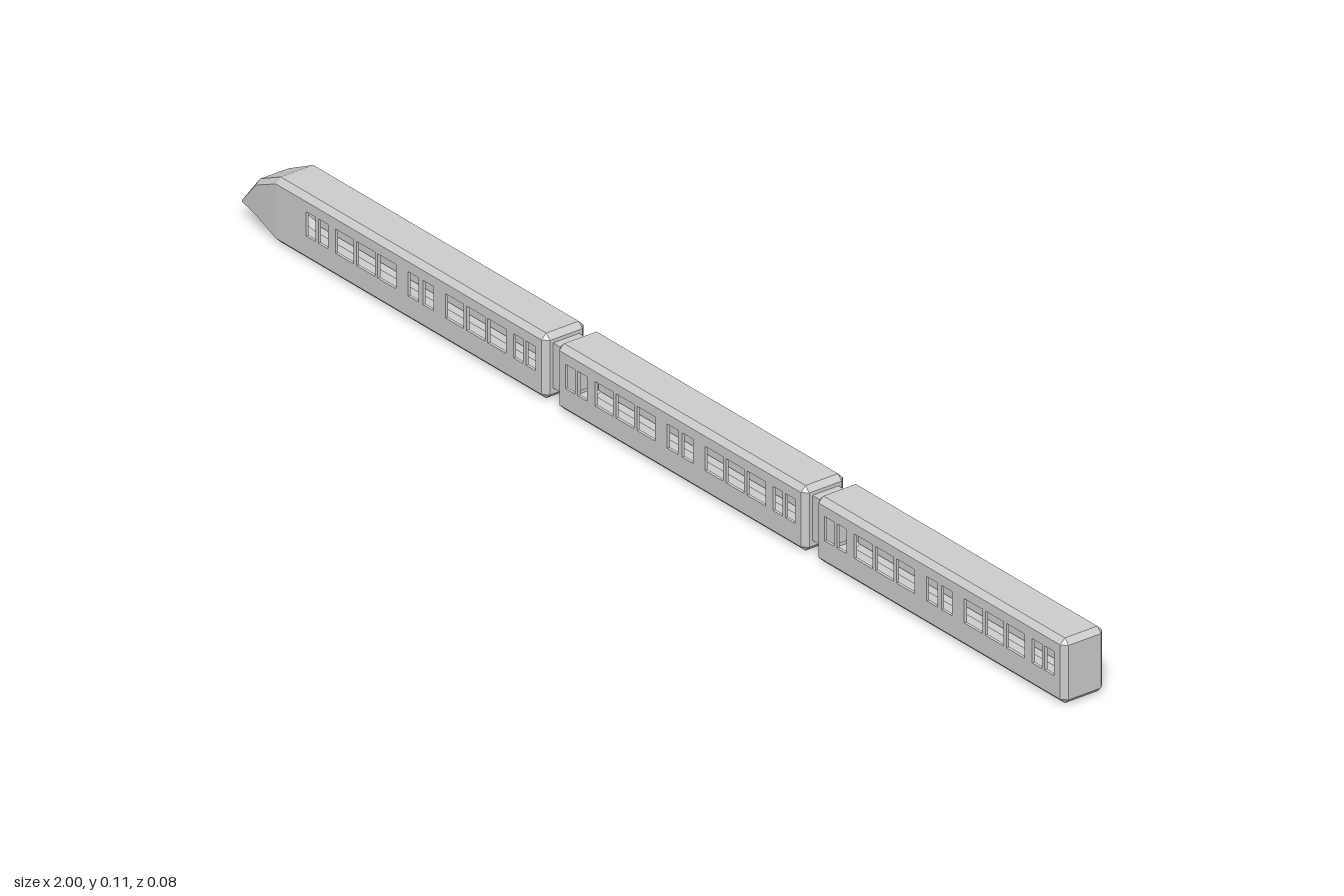
import * as THREE from 'three';

const W = 0.04, H = 0.11, C = 0.009, WALL = 0.005;
const material = new THREE.MeshStandardMaterial({ color: 0xcccccc, flatShading: true, side: THREE.DoubleSide });

function addMesh(parent, geometry, name) {
  const mesh = new THREE.Mesh(geometry, material);
  mesh.name = name;
  parent.add(mesh);
  return mesh;
}

// Eight-cornered cross-section: half width w, from y0 to y1, corner cut c
const ring = (x, w, y0, y1, c) => [
  [w, y0 + c], [w, y1 - c], [w - c, y1], [c - w, y1],
  [-w, y1 - c], [-w, y0 + c], [c - w, y0], [w - c, y0],
].map(([z, y]) => [x, y, z]);

// Skin between cross-sections; the side walls of span openSpan are left out
function loft(rings, openSpan) {
  const pos = [];
  const tri = (...points) => points.forEach((p) => pos.push(...p));
  for (let i = 0; i < rings.length - 1; i++) {
    for (let j = 0; j < 8; j++) {
      if (i === openSpan && j % 4 === 0) continue;
      const k = (j + 1) % 8;
      const a = rings[i][j], b = rings[i][k], c = rings[i + 1][k], d = rings[i + 1][j];
      tri(a, d, c);
      tri(a, c, b);
    }
  }
  const first = rings[0], last = rings[rings.length - 1];
  for (let k = 1; k < 7; k++) {
    tri(first[0], first[k], first[k + 1]);
    tri(last[0], last[k + 1], last[k]);
  }
  const geometry = new THREE.BufferGeometry();
  geometry.setAttribute('position', new THREE.Float32BufferAttribute(pos, 3));
  geometry.computeVertexNormals();
  return geometry;
}

function rectangle(path, x0, x1, y0, y1) {
  path.moveTo(x0, y0);
  path.lineTo(x1, y0);
  path.lineTo(x1, y1);
  path.lineTo(x0, y1);
  path.closePath();
  return path;
}

// Window pattern as [offset from the car centre, width]
const windows = [];
for (const s of [-1, 1]) {
  windows.push([s * 0.018, 0.026]);
  for (const d of [-0.015, 0.015]) windows.push([s * 0.251 + d, 0.023]);
  for (const d of [-0.051, 0, 0.051]) windows.push([s * 0.133 + d, 0.044]);
}

function sideWall(centre, x0, x1) {
  const shape = rectangle(new THREE.Shape(), x0, x1, C, H - C);
  for (const [offset, width] of windows) {
    const x = centre + offset;
    shape.holes.push(rectangle(new THREE.Path(), x - width / 2, x + width / 2, 0.043, 0.084));
  }
  return new THREE.ExtrudeGeometry(shape, { depth: WALL, bevelEnabled: false });
}

function car(name, centre, hasNose) {
  const group = new THREE.Group();
  group.name = name;
  const start = centre - 0.301, end = centre + 0.301;
  const x0 = hasNose ? -0.905 : start + C, x1 = end - C;
  // Either a pointed nose or a bevelled flat end
  const front = hasNose
    ? [ring(-1, 0.03, 0.028, 0.032, 0.001), ring(-0.96, 0.035, 0.016, 0.083, 0.008)]
    : [ring(start, W - C, C, H - C, 0)];
  const rings = [
    ...front,
    ring(x0, W, 0, H, C),
    ring(x1, W, 0, H, C),
    ring(end, W - C, C, H - C, 0),
  ];
  addMesh(group, loft(rings, front.length), 'bodyShell');
  const wall = sideWall(centre, x0, x1);
  addMesh(group, wall, 'frontWindowWall').position.z = W - WALL;
  addMesh(group, wall, 'backWindowWall').position.z = -W;
  return group;
}

export function createModel() {
  const train = new THREE.Group();
  train.name = 'train';
  const centres = [-0.555, 0.072, 0.699];
  const names = ['leadCar', 'middleCar', 'rearCar'];
  centres.forEach((x, i) => train.add(car(names[i], x, i === 0)));

  // Narrow gangways joining the cars
  for (let i = 0; i < 2; i++) {
    const gangway = addMesh(train, new THREE.BoxGeometry(0.04, 0.076, 0.05), 'gangway');
    gangway.position.set((centres[i] + centres[i + 1]) / 2, 0.057, 0);
  }
  return train;
}
